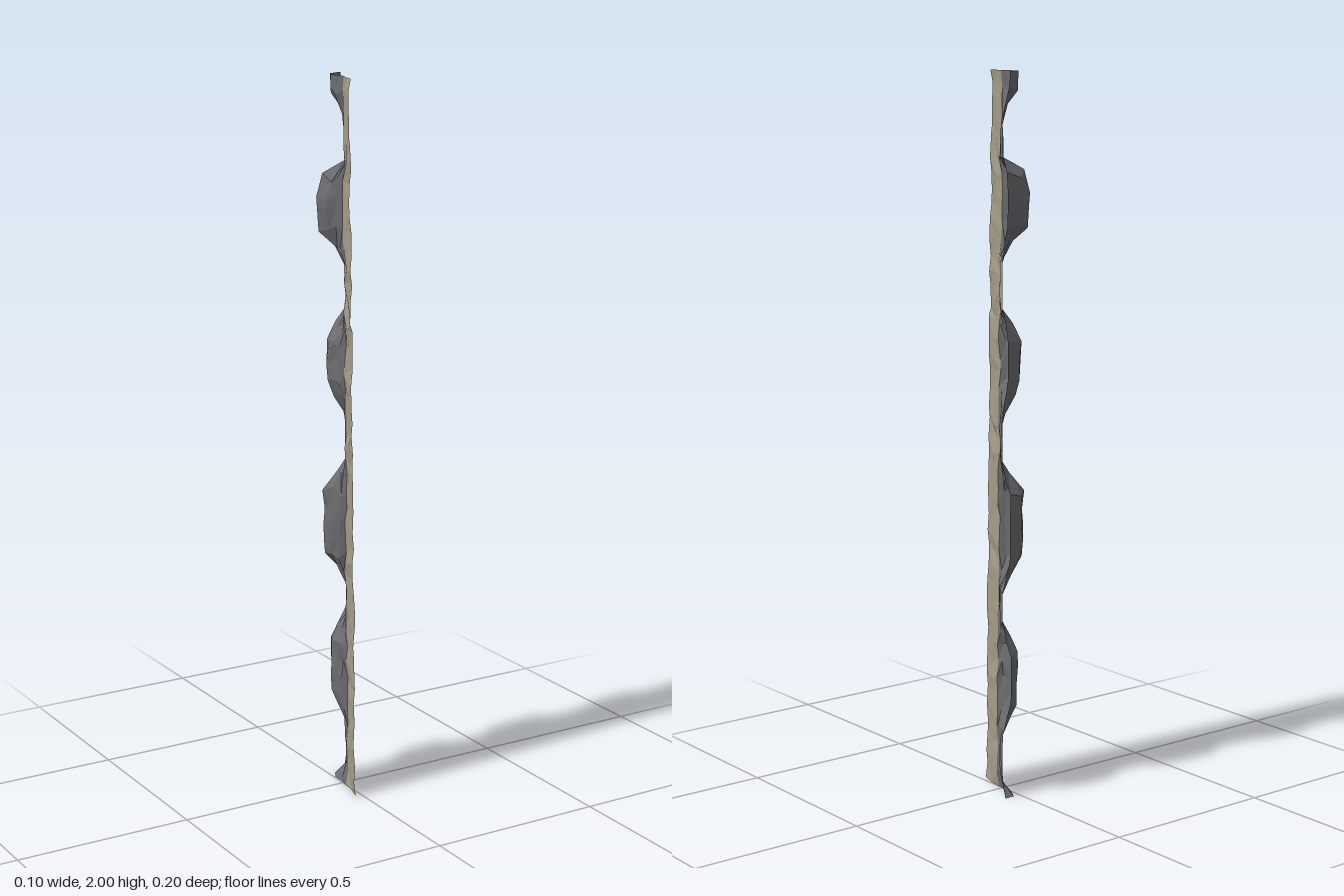
import * as THREE from 'three';

// Rock bulges: [y start, y end, peak x, peak z, back edge z]
const BULGES = [
  [-0.2, 0.06, 0.0, -0.05, -0.078],
  [0.17, 0.49, -0.012, -0.045, -0.1],
  [0.59, 0.94, -0.034, -0.046, -0.097],
  [1.07, 1.36, -0.022, -0.045, -0.087],
  [1.5, 1.78, -0.05, -0.053, -0.086],
  [1.87, 2.2, -0.012, -0.05, -0.096],
];
const ROWS = 44;
const smooth = (a, b, v) => THREE.MathUtils.smoothstep(v, a, b);
const mix = THREE.MathUtils.lerp;

// repeatable small offset in -1..1
function jitter(i, j, k) {
  const s = Math.sin(i * 127.1 + j * 311.7 + k * 74.7) * 43758.5453;
  return (s - Math.floor(s)) * 2 - 1;
}

// cross-section of the whole strip at height y: sandy flank, then rock
function section(y) {
  const t = y / 2;
  const frontX = -0.022 - 0.02 * t;
  const seamX = 0.004 - 0.014 * t;
  const flank = [[frontX, 0.102], [mix(frontX, seamX, 0.55), 0.058], [seamX, 0.018]];
  const base = [0.17, 0.36, 0.56, 0.78, 1].map((f) => [mix(seamX, 0.05, f), mix(0.018, -0.063, f)]);
  for (const [y0, y1, px, pz, back] of BULGES) {
    const w = smooth(y0, y0 + 0.11, y) * (1 - smooth(y1 - 0.075, y1, y));
    if (w <= 0) continue;
    const rock = [
      [mix(seamX, px, 0.35), 0.002], [mix(seamX, px, 0.75), -0.02], [px, pz],
      [mix(px, 0.05, 0.3), -0.078], [0.05, back],
    ];
    base.forEach((p, i) => {
      p[0] = mix(p[0], rock[i][0], w);
      p[1] = mix(p[1], rock[i][1], w);
    });
  }
  return [...flank, ...base];
}

// open sheet through a range of section columns, keeping only chosen rows
function sheet(name, material, c0, c1, keepRow) {
  const pos = [], index = [], n = c1 - c0 + 1;
  for (let i = 0; i <= ROWS; i++) {
    const y0 = (2 * i) / ROWS;
    section(y0).slice(c0, c1 + 1).forEach(([x, z], k) => {
      const j = c0 + k;
      const y = i === 0 || i === ROWS ? y0 : y0 + 0.013 * jitter(i, j, 1);
      const edge = j === 0 || j === 7;
      const px = j === 7 ? x : Math.max(-0.05, x + 0.004 * jitter(i, j, 2));
      pos.push(px, y, edge ? z : z + 0.004 * jitter(i, j, 3));
    });
  }
  for (let i = 0; i < ROWS; i++) {
    if (!keepRow((2 * i + 1) / ROWS)) continue;
    for (let k = 0; k < n - 1; k++) {
      const a = i * n + k, b = a + 1, c = a + n, d = c + 1;
      if (jitter(i, k, 5) > 0) index.push(a, b, d, a, d, c);
      else index.push(a, b, c, b, d, c);
    }
  }
  const geo = new THREE.BufferGeometry();
  geo.setAttribute('position', new THREE.Float32BufferAttribute(pos, 3));
  geo.setIndex(index);
  const flat = geo.toNonIndexed();
  flat.computeVertexNormals();
  const mesh = new THREE.Mesh(flat, material);
  mesh.name = name;
  return mesh;
}

export function createModel() {
  const sand = new THREE.MeshStandardMaterial({ color: 0xa69d89, flatShading: true, side: THREE.DoubleSide });
  sand.name = 'sand';
  const stone = new THREE.MeshStandardMaterial({ color: 0x6d6d70, flatShading: true, side: THREE.DoubleSide });
  stone.name = 'stone';

  const model = new THREE.Group();
  model.name = 'rockyStrip';
  const inGap = (y) => y > 1.36 && y < 1.5;
  model.add(sheet('sandyFlank', sand, 0, 2, () => true));
  model.add(sheet('sandyGap', sand, 2, 7, inGap));
  model.add(sheet('rockFace', stone, 2, 7, (y) => !inGap(y)));
  return model;
}
